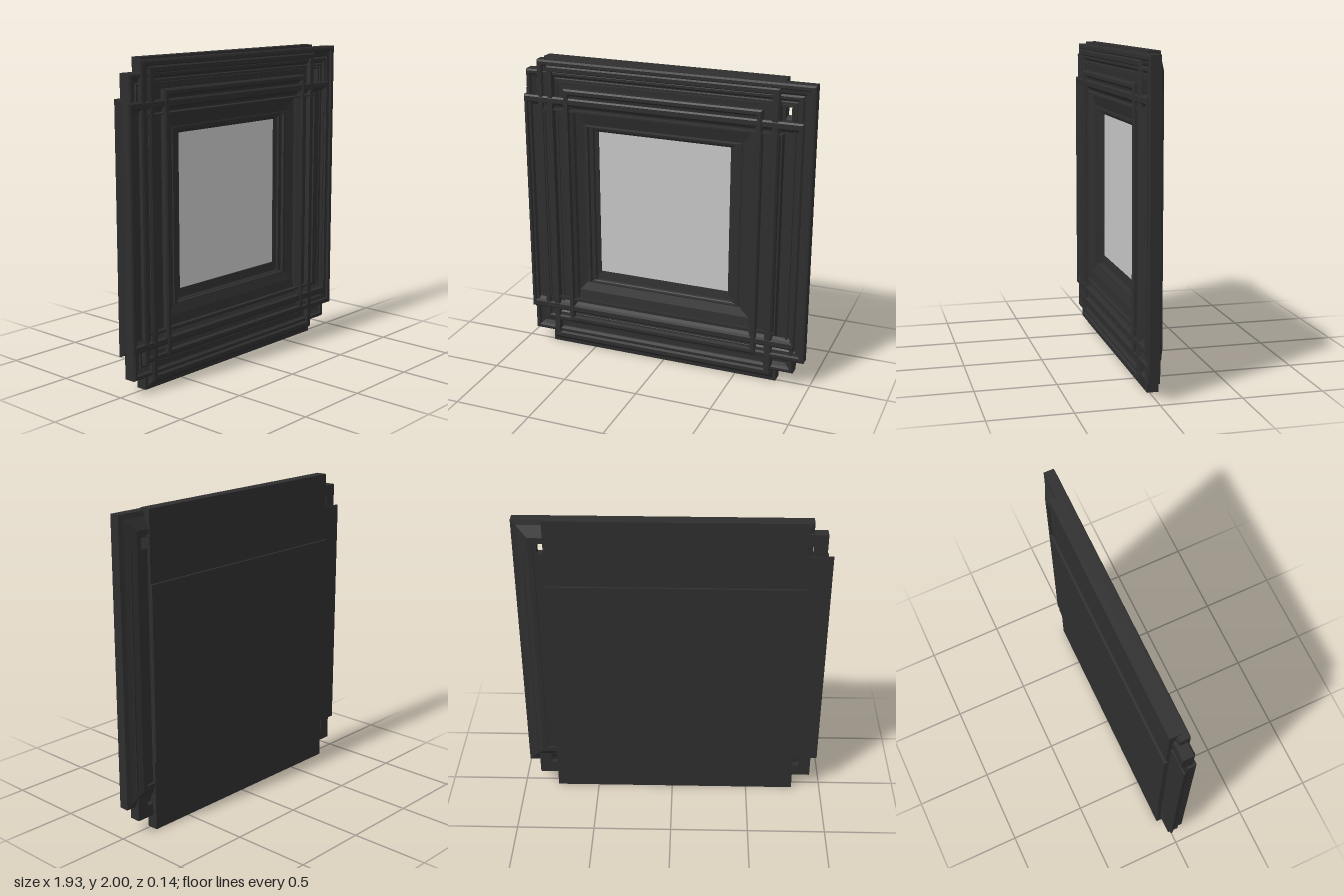
import * as THREE from 'three';

const darkWood = new THREE.MeshStandardMaterial({ color: 0x2e2e2e });
darkWood.name = 'dark wood';
const paleGlass = new THREE.MeshStandardMaterial({ color: 0xc6c6c6 });
paleGlass.name = 'pale glass';

// Mitred frame: joins rectangles [left, right, bottom, top, z] into a closed moulding,
// listed from the outer back edge over the front to the inner back edge.
function moulding(name, rects) {
  const corners = ([l, r, b, t, z]) => [[l, b, z], [r, b, z], [r, t, z], [l, t, z]];
  const positions = [];
  rects.forEach((rect, i) => {
    const outer = corners(rect);
    const inner = corners(rects[(i + 1) % rects.length]);
    for (let k = 0; k < 4; k++) {
      const n = (k + 1) % 4;
      positions.push(
        ...outer[k], ...outer[n], ...inner[n],
        ...outer[k], ...inner[n], ...inner[k]);
    }
  });
  const geometry = new THREE.BufferGeometry();
  geometry.setAttribute('position', new THREE.Float32BufferAttribute(positions, 3));
  geometry.computeVertexNormals();
  const mesh = new THREE.Mesh(geometry, darkWood);
  mesh.name = name;
  return mesh;
}

// Same, from one outer rectangle and a profile of [inset, z] points
function evenMoulding(name, [l, r, b, t], profile) {
  return moulding(name, profile.map(([d, z]) => [l + d, r - d, b + d, t - d, z]));
}

function plate(name, [l, r, b, t], back, front, material) {
  const mesh = new THREE.Mesh(new THREE.BoxGeometry(r - l, t - b, front - back), material);
  mesh.position.set((l + r) / 2, (b + t) / 2, (back + front) / 2);
  mesh.name = name;
  return mesh;
}

export function createModel() {
  const group = new THREE.Group();
  group.name = 'layeredFrame';

  // Tall main frame
  group.add(moulding('mainFrame', [
    [-0.81, 0.775, 0, 2, -0.055],
    [-0.81, 0.775, 0, 2, 0.015],
    [-0.79, 0.755, 0.025, 1.975, 0.018],
    [-0.785, 0.75, 0.05, 1.95, 0.05],
    [-0.77, 0.738, 0.06, 1.94, 0.06],
    [-0.745, 0.706, 0.085, 1.915, 0.06],
    [-0.735, 0.695, 0.1, 1.9, 0.035],
    [-0.69, 0.65, 0.17, 1.83, 0.03],
    [-0.66, 0.64, 0.2, 1.8, 0.03],
    [-0.66, 0.64, 0.2, 1.8, -0.055],
  ]));

  // Raised bead stepping down to the flat inner slope
  group.add(moulding('innerBead', [
    [-0.665, 0.645, 0.19, 1.81, -0.04],
    [-0.665, 0.645, 0.19, 1.81, 0.06],
    [-0.655, 0.635, 0.2, 1.8, 0.068],
    [-0.635, 0.62, 0.22, 1.78, 0.068],
    [-0.63, 0.6, 0.23, 1.765, 0.045],
    [-0.61, 0.59, 0.3, 1.7, 0.035],
    [-0.6, 0.58, 0.42, 1.66, 0.02],
    [-0.55, 0.51, 0.48, 1.57, 0],
    [-0.55, 0.51, 0.48, 1.57, -0.04],
  ]));

  // Lip around the glass
  group.add(moulding('glassLip', [
    [-0.55, 0.51, 0.48, 1.575, -0.04],
    [-0.55, 0.51, 0.48, 1.575, 0.01],
    [-0.525, 0.49, 0.485, 1.565, 0.012],
    [-0.52, 0.485, 0.49, 1.56, -0.005],
    [-0.495, 0.46, 0.495, 1.545, -0.008],
    [-0.49, 0.455, 0.5, 1.54, -0.02],
    [-0.463, 0.426, 0.557, 1.528, -0.028],
    [-0.463, 0.426, 0.557, 1.528, -0.045],
  ]));

  // Wide frame shifted to the left
  group.add(moulding('wideFrame', [
    [-0.97, 0.905, 0.24, 1.77, -0.035],
    [-0.97, 0.905, 0.24, 1.77, -0.025],
    [-0.945, 0.9, 0.26, 1.75, 0.005],
    [-0.945, 0.9, 0.26, 1.75, 0.055],
    [-0.935, 0.89, 0.27, 1.74, 0.062],
    [-0.925, 0.88, 0.3, 1.71, 0.062],
    [-0.915, 0.875, 0.31, 1.7, 0.045],
    [-0.9, 0.87, 0.33, 1.685, 0.035],
    [-0.85, 0.78, 0.34, 1.675, 0.035],
    [-0.84, 0.77, 0.345, 1.67, 0.055],
    [-0.8, 0.76, 0.36, 1.66, 0.055],
    [-0.8, 0.76, 0.36, 1.66, -0.035],
  ]));

  // Frame shifted to the upper right, with a bevelled back
  group.add(evenMoulding('offsetFrame', [-0.845, 0.965, 0.18, 1.985], [
    [0.1, -0.05], [0.03, -0.015], [0, -0.008], [0, 0.055], [0.012, 0.06], [0.03, 0.06],
    [0.038, 0.048], [0.06, 0.045], [0.075, 0.03], [0.11, 0.03], [0.118, 0.04],
    [0.13, 0.04], [0.13, -0.05],
  ]));

  // Narrow frame showing at the corners
  group.add(evenMoulding('cornerFrame', [-0.93, 0.895, 0.09, 1.915], [
    [0, -0.03], [0, 0.04], [0.01, 0.05], [0.025, 0.05], [0.035, 0.035],
    [0.06, 0.025], [0.065, 0.035], [0.078, 0.035], [0.078, -0.03],
  ]));

  // Glass and closed back
  group.add(plate('glass', [-0.47, 0.433, 0.55, 1.535], -0.039, -0.031, paleGlass));
  group.add(plate('backBoard', [-0.81, 0.775, 0, 2], -0.056, -0.045, darkWood));
  group.add(plate('backPanel', [-0.82, 0.78, 0.45, 1.56], -0.072, -0.05, darkWood));

  return group;
}
